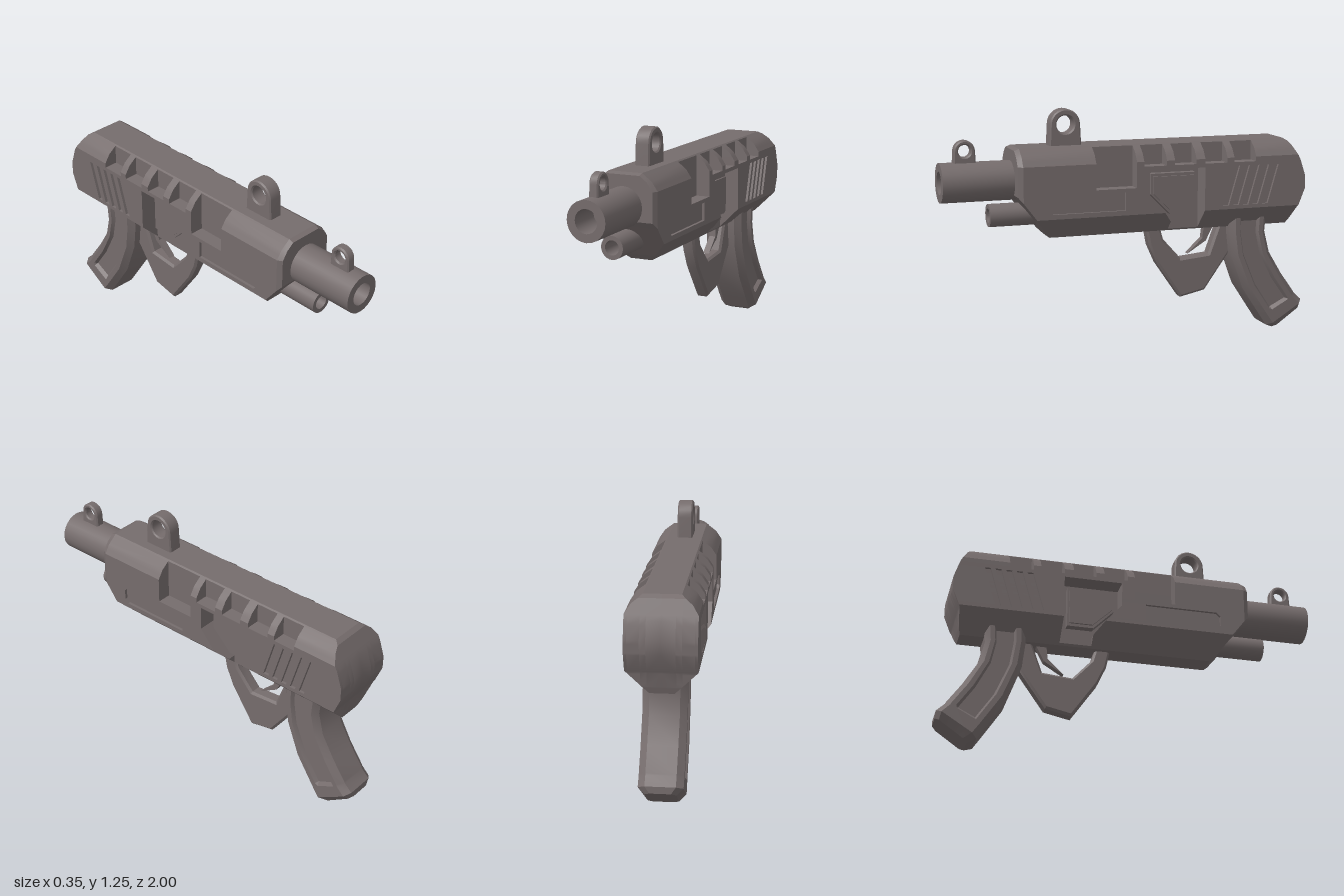
import * as THREE from 'three';
import { toCreasedNormals } from 'three/addons/utils/BufferGeometryUtils.js';

const material = new THREE.MeshStandardMaterial({ color: 0x756c6c });

// Body half-width by height: [y, x]
const section = [[0.585, 0.06], [0.7, 0.175], [0.975, 0.175], [1.02, 0.145], [1.06, 0.092]];
const halfWidth = (y) => {
  const i = Math.max(1, section.findIndex((p) => p[0] >= y - 1e-6));
  const [a, b] = [section[i - 1], section[i]];
  return a[1] + (b[1] - a[1]) * (y - a[0]) / (b[0] - a[0]);
};

function triangleMesh(name, pos) {
  const g = new THREE.BufferGeometry();
  g.setAttribute('position', new THREE.Float32BufferAttribute(pos, 3));
  g.computeVertexNormals();
  return new THREE.Mesh(toCreasedNormals(g, 0.4), material);
}

// Mirrored pair of slabs between xMin and xMax, trimmed to the body section.
// Loops are [z, y]; the first is the outline, the others are holes.
function slab(name, loops, xMin, xMax) {
  const pos = [];
  const quad = (...q) => {
    for (const s of [1, -1]) {
      const order = s > 0 ? [0, 1, 2, 0, 2, 3] : [0, 2, 1, 0, 3, 2];
      for (const k of order) pos.push(s * q[k][0], q[k][1], -q[k][2]);
    }
  };
  const at = (limit, [u, y]) =>
    [Math.min(limit, halfWidth(y)) - Math.max(0, -u - 0.605) * 0.6, y, u];
  const wall = (a, b) => quad(at(xMax, a), at(xMin, a), at(xMin, b), at(xMax, b));

  const heights = section.map((p) => p[0]);
  for (let i = 1; i < section.length; i++) {
    const [[ya, xa], [yb, xb]] = [section[i - 1], section[i]];
    for (const m of [xMin, xMax]) {
      if ((xa - m) * (xb - m) < 0) heights.push(ya + (yb - ya) * (m - xa) / (xb - xa));
    }
  }
  const edges = [];
  loops.forEach((loop, k) => {
    const pts = loop.map(([z, y]) => new THREE.Vector2(-z, y));
    if (THREE.ShapeUtils.isClockWise(pts) !== k > 0) pts.reverse();
    pts.forEach((p, i) => {
      const q = pts[(i + 1) % pts.length];
      heights.push(p.y);
      if (p.y === q.y) wall([p.x, p.y], [q.x, q.y]);
      else edges.push([p, q]);
    });
  });
  // Split into level strips and pair the edges crossing each strip
  const ys = [...new Set(heights)].sort((a, b) => a - b);
  for (let i = 1; i < ys.length; i++) {
    const [y0, y1] = [ys[i - 1], ys[i]];
    const mid = (y0 + y1) / 2;
    const u = ([p, q], y) => p.x + (q.x - p.x) * (y - p.y) / (q.y - p.y);
    const hit = edges.filter(([p, q]) => (p.y - mid) * (q.y - mid) < 0)
      .sort((a, b) => u(a, mid) - u(b, mid));
    for (let k = 0; k + 1 < hit.length; k += 2) {
      const [l0, l1] = [[u(hit[k], y0), y0], [u(hit[k], y1), y1]];
      const [r0, r1] = [[u(hit[k + 1], y0), y0], [u(hit[k + 1], y1), y1]];
      quad(at(xMax, l0), at(xMax, r0), at(xMax, r1), at(xMax, l1));
      wall(l1, l0);
      wall(r0, r1);
    }
  }
  const mesh = triangleMesh(name, pos);
  mesh.name = name;
  return mesh;
}

// Side outline of the body with optional side pocket and top notches
function bodyOutline(pocket, notches) {
  const pts = [[0.44, 0.585]];
  if (pocket) {
    pts.push([-0.21, 0.585], [-0.21, 0.64], [-0.07, 0.8], [-0.07, 0.93], [-0.38, 0.93], [-0.38, 0.585]);
  }
  pts.push([-0.9, 0.585], [-0.91, 0.62], [-0.92, 0.69], [-0.96, 0.79], [-0.96, 0.86],
    [-0.93, 0.95], [-0.88, 1.045], [-0.855, 1.06]);
  if (notches) {
    const cuts = [[-0.67, -0.545, 0.95], [-0.505, -0.38, 0.95], [-0.33, -0.21, 0.95],
      [-0.165, -0.04, 0.95], [0, 0.22, 0.84]];
    for (const [back, front, floor] of cuts) {
      pts.push([back, 1.06], [back, floor], [front, floor], [front, 1.06]);
    }
  }
  pts.push([0.605, 1.06], [0.605, 0.79], [0.47, 0.615]);
  return pts;
}

// Centred plate cut from a [z, y] outline, with optional round hole
function plate(name, outline, half, bevel, hole) {
  const shape = new THREE.Shape(outline.map(([z, y]) => new THREE.Vector2(-z, y)));
  if (hole) shape.holes.push(new THREE.Path().absarc(-hole[0], hole[1], hole[2] + bevel, 0, Math.PI * 2, true));
  const g = new THREE.ExtrudeGeometry(shape, {
    depth: 2 * (half - bevel), bevelEnabled: bevel > 0, bevelSize: bevel, bevelThickness: bevel,
    bevelOffset: -bevel, bevelSegments: 1, curveSegments: 10,
  });
  g.translate(0, 0, bevel - half).rotateY(Math.PI / 2);
  const mesh = new THREE.Mesh(toCreasedNormals(g, 0.5), material);
  mesh.name = name;
  return mesh;
}

// Sight ring: a round-topped lug with a hole
function sight(name, z, base, cy, r, half, holeR) {
  const pts = [[z + r * 1.08, base], [z - r * 1.08, base]];
  for (let i = 0; i <= 12; i++) {
    const a = Math.PI * (1 - i / 12);
    pts.push([z + r * Math.cos(a), cy + r * Math.sin(a)]);
  }
  return plate(name, pts, half, 0.007, [z, cy, holeR]);
}

// Hollow tube along z
function tube(name, y, r, bore, back, front) {
  const p = [[r, back], [r, front], [bore, front], [bore, front - 0.18], [0, front - 0.18]];
  const g = new THREE.LatheGeometry(p.map(([a, b]) => new THREE.Vector2(a, b)), 24);
  g.rotateX(Math.PI / 2);
  const mesh = new THREE.Mesh(toCreasedNormals(g, 0.5), material);
  mesh.name = name;
  mesh.position.y = y;
  return mesh;
}

// Curved grip lofted through stations, with a channel down each side
function grip() {
  // front z, front y, back z, back y, width scale, channel depth
  const stations = [
    [-0.56, 0.66, -0.78, 0.66, 1, 0.02], [-0.56, 0.56, -0.77, 0.55, 1, 0.02],
    [-0.575, 0.43, -0.8, 0.43, 1, 0.02], [-0.645, 0.24, -0.875, 0.305, 1, 0.02],
    [-0.74, 0.095, -0.95, 0.2, 1, 0.02], [-0.75, 0.08, -0.955, 0.19, 1, 0],
    [-0.79, 0.02, -0.998, 0.15, 1, 0], [-0.835, 0, -1, 0.115, 0.7, 0]];
  const half = [[0, 0.075], [0.13, 0.11], [0.25, 0.11], [0.3, 0.11, 1],
    [0.72, 0.11, 1], [0.77, 0.11], [0.88, 0.11], [1, 0.075]];
  const ring = [...half.map((h) => [1, ...h]), ...half.map((h) => [-1, ...h]).reverse()];
  const rows = stations.map(([zf, yf, zb, yb, w, d]) => ring.map(([s, t, x, inset]) =>
    [s * (x * w - (inset ? d : 0)), yf + (yb - yf) * t, zf + (zb - zf) * t]));
  const pos = [];
  const n = ring.length;
  for (let i = 1; i < rows.length; i++) {
    for (let k = 0; k < n; k++) {
      const [a, b] = [rows[i - 1][k], rows[i - 1][(k + 1) % n]];
      const [c, d] = [rows[i][(k + 1) % n], rows[i][k]];
      pos.push(...a, ...d, ...c, ...a, ...c, ...b);
    }
  }
  const end = rows[rows.length - 1];
  for (let k = 1; k < n - 1; k++) pos.push(...end[0], ...end[k + 1], ...end[k]);
  const mesh = triangleMesh('grip', pos);
  mesh.name = 'grip';
  return mesh;
}

export function createModel() {
  const model = new THREE.Group();

  // Body in nested layers, each with its own cut-outs
  const vents = [];
  for (let i = 0; i < 5; i++) {
    const z = -0.485 - i * 0.056;
    vents.push([[z, 0.72], [z - 0.032, 0.72], [z - 0.093, 0.93], [z - 0.061, 0.93]]);
  }
  const sidePanel = [[0.45, 0.725], [0.06, 0.725], [0.06, 0.82], [0.45, 0.82], [0.47, 0.8], [0.47, 0.745]];
  model.add(
    slab('bodyCore', [bodyOutline(false, false)], 0, 0.07),
    slab('bodyMiddle', [bodyOutline(true, false)], 0.07, 0.1),
    slab('bodySides', [bodyOutline(true, true)], 0.1, 0.16),
    slab('bodySkin', [bodyOutline(true, true), ...vents, sidePanel], 0.16, 0.175),
    slab('frontBezel', [[[0.605, 1.06], [0.605, 0.79], [0.63, 0.82], [0.63, 1.05]]], 0, 0.175),
    slab('pocketPlate', [[[-0.1, 0.9], [-0.1, 0.79], [-0.21, 0.68], [-0.35, 0.68], [-0.35, 0.9]]], 0.07, 0.11),
    slab('pocketPlateInset', [[[-0.11, 0.885], [-0.11, 0.795], [-0.215, 0.695], [-0.34, 0.695], [-0.34, 0.885]]], 0.11, 0.12),
  );

  // Barrel, lower tube and sights
  model.add(
    tube('barrel', 0.89, 0.103, 0.06, 0.55, 1),
    tube('lowerTube', 0.71, 0.06, 0.038, 0.45, 0.75),
    sight('frontSight', 0.87, 0.97, 1.05, 0.055, 0.025, 0.025),
    sight('rearSight', 0.343, 1.04, 1.168, 0.08, 0.04, 0.04),
  );

  // Trigger, guard and grip
  model.add(
    plate('triggerGuard', [[-0.1, 0.6], [-0.12, 0.5], [-0.165, 0.4], [-0.3, 0.205], [-0.44, 0.235],
      [-0.6, 0.46], [-0.6, 0.6], [-0.52, 0.6], [-0.46, 0.435], [-0.3, 0.42], [-0.2, 0.53], [-0.18, 0.6]], 0.037, 0.012),
    plate('trigger', [[-0.44, 0.6], [-0.43, 0.52], [-0.345, 0.44], [-0.45, 0.505], [-0.5, 0.6]], 0.018, 0),
    grip(),
  );
  return model;
}
